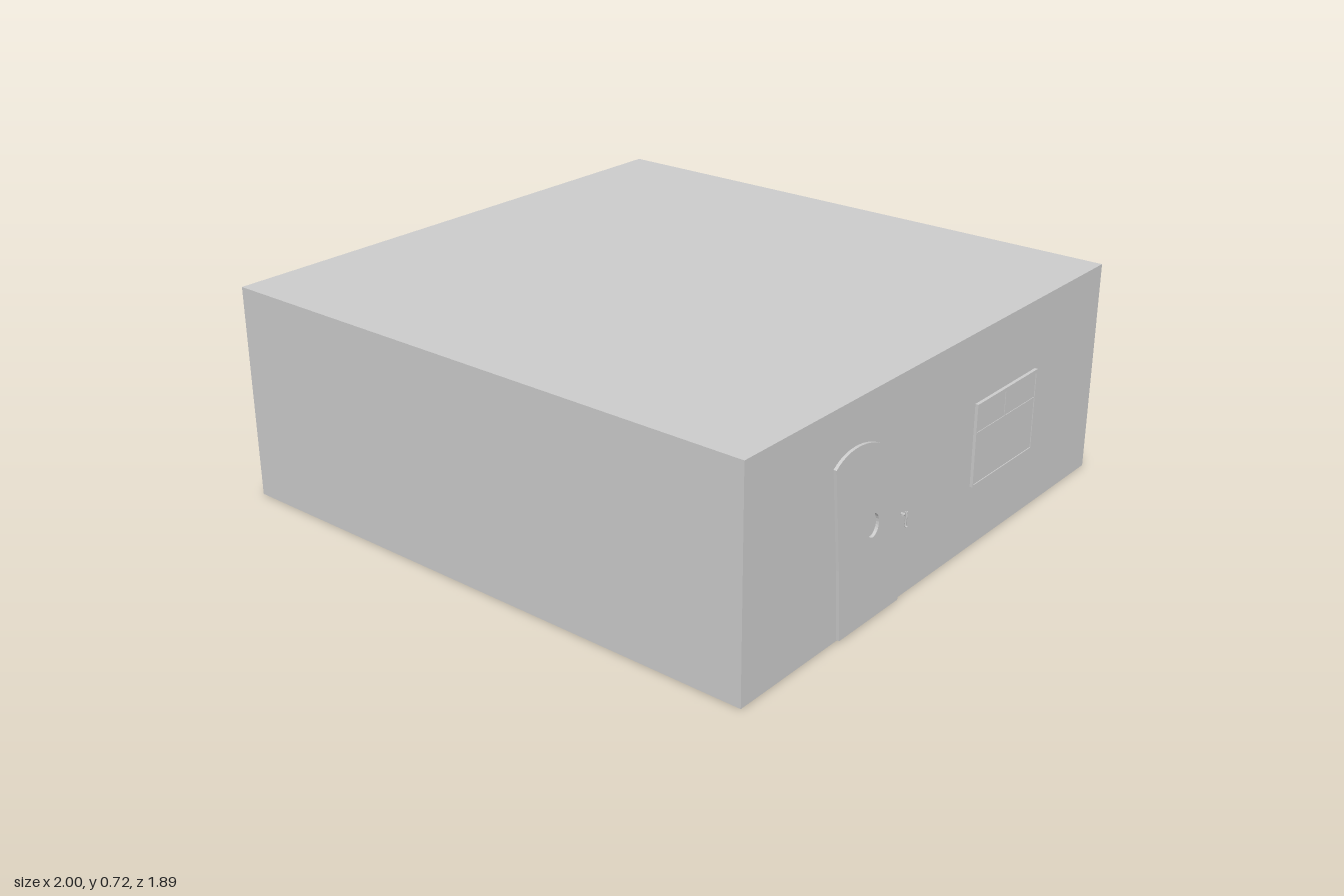
import * as THREE from 'three';

const WALL = 0.965; // x of the wall carrying the door and window

export function createModel() {
  const model = new THREE.Group();
  const material = new THREE.MeshStandardMaterial({ color: 0xcccccc });

  function add(name, geometry, x = 0, y = 0, z = 0) {
    const mesh = new THREE.Mesh(geometry, material);
    mesh.name = name;
    mesh.position.set(x, y, z);
    model.add(mesh);
    return mesh;
  }

  // Box spanning from the wall outwards, given by its z and y limits
  function wallPanel(name, z0, z1, y0, y1, depth) {
    return add(name, new THREE.BoxGeometry(depth, y1 - y0, z1 - z0),
      WALL + depth / 2, (y0 + y1) / 2, (z0 + z1) / 2);
  }

  // Plain flat-roofed building
  add('building', new THREE.BoxGeometry(1.965, 0.717, 1.89), -0.0175, 0.3585, 0);

  // Crooked door with a curved top and an oval peephole (shape x is -z)
  const outline = new THREE.Shape();
  outline.moveTo(-0.51, 0.003);
  outline.lineTo(-0.215, 0.003);
  outline.lineTo(-0.206, 0.22);
  outline.lineTo(-0.18, 0.455);
  outline.lineTo(-0.34, 0.548);
  outline.bezierCurveTo(-0.41, 0.585, -0.5, 0.59, -0.555, 0.545);
  outline.lineTo(-0.525, 0.23);
  outline.closePath();
  const peephole = new THREE.Path();
  peephole.absellipse(-0.363, 0.305, 0.029, 0.037, 0, Math.PI * 2, true);
  outline.holes.push(peephole);
  const doorGeometry = new THREE.ExtrudeGeometry(outline, { depth: 0.01, bevelEnabled: false, curveSegments: 12 });
  doorGeometry.rotateY(Math.PI / 2);
  add('door', doorGeometry, WALL);

  // Door handle: spindle, cross lever and a curled drop
  const spindle = new THREE.CylinderGeometry(0.004, 0.004, 0.016, 8);
  spindle.rotateZ(Math.PI / 2);
  add('handleSpindle', spindle, 0.981, 0.285, 0.218);
  const lever = new THREE.CylinderGeometry(0.004, 0.004, 0.024, 8);
  lever.rotateX(Math.PI / 2);
  add('handleLever', lever, 0.986, 0.287, 0.218);
  const curl = new THREE.CatmullRomCurve3([
    [0.984, 0.287, 0.218], [0.99, 0.295, 0.218], [0.992, 0.28, 0.217],
    [0.989, 0.262, 0.217], [0.991, 0.248, 0.217], [0.997, 0.247, 0.217],
  ].map(p => new THREE.Vector3(...p)));
  add('handleCurl', new THREE.TubeGeometry(curl, 20, 0.003, 6));

  // Window: pane, surrounding frame and glazing bars
  wallPanel('windowPane', -0.54, -0.182, 0.212, 0.485, 0.007);
  wallPanel('windowHead', -0.54, -0.182, 0.473, 0.485, 0.011);
  wallPanel('windowSill', -0.54, -0.182, 0.212, 0.218, 0.01);
  for (const z of [-0.54, -0.186]) wallPanel('windowJamb', z, z + 0.004, 0.212, 0.485, 0.01);
  wallPanel('windowTransom', -0.54, -0.182, 0.384, 0.391, 0.009);
  wallPanel('windowMullion', -0.355, -0.35, 0.391, 0.473, 0.009);

  return model;
}
